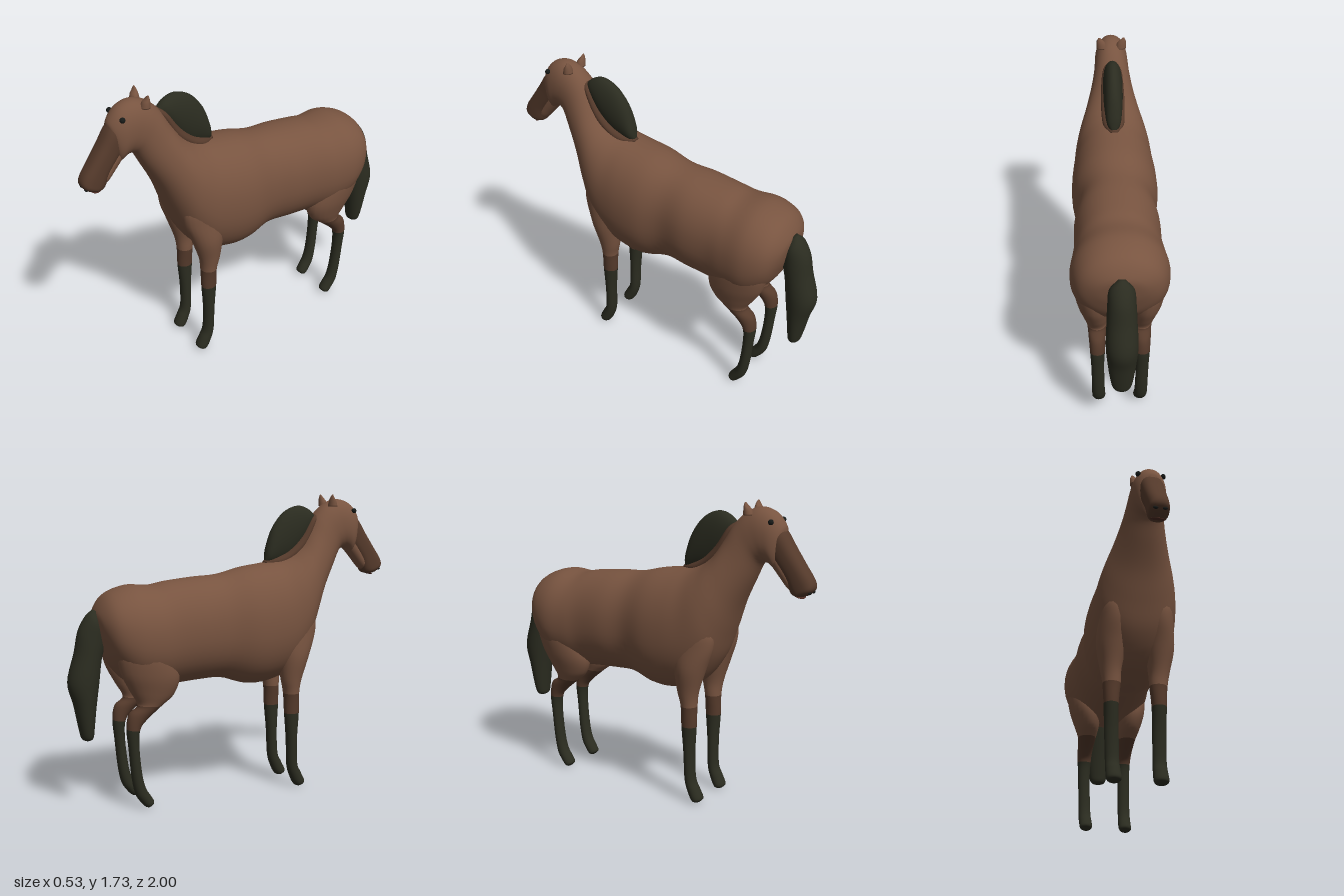
import * as THREE from 'three';

const mat = (name, color) => {
  const m = new THREE.MeshStandardMaterial({ color });
  m.name = name;
  return m;
};

// Lofts smooth oval sections. Each station is [zA, yA, zB, yB, halfWidth, x]:
// two opposite outline points in the side plane, a half width and a sideways centre.
// mats holds one material, or one per interval between stations.
function loft(name, stations, mats, { side = 1, n = 2, seg = 32, sub = 5 } = {}) {
  const curveOf = (f) => new THREE.CatmullRomCurve3(stations.map(f), false, 'catmullrom', 0.5);
  const a = curveOf((s) => new THREE.Vector3(s[0], s[1], s[4]));
  const b = curveOf((s) => new THREE.Vector3(s[2], s[3], (s[5] || 0) * side));
  const rows = (stations.length - 1) * sub;
  const pos = [], idx = [];
  const pw = (v) => Math.sign(v) * Math.pow(Math.abs(v), 2 / n);
  const ends = [];
  for (let i = 0; i <= rows; i++) {
    const p = a.getPoint(i / rows), q = b.getPoint(i / rows);
    const cz = (p.x + q.x) / 2, cy = (p.y + q.y) / 2;
    for (let j = 0; j < seg; j++) {
      const t = (j / seg) * Math.PI * 2, c = pw(Math.cos(t));
      pos.push(q.z + p.z * pw(Math.sin(t)), cy + (p.y - q.y) / 2 * c, cz + (p.x - q.x) / 2 * c);
    }
    if (i === 0 || i === rows) ends.push([q.z, cy, cz]);
  }
  const first = pos.length / 3;
  pos.push(...ends[0], ...ends[1]);
  const starts = [];
  for (let i = 0; i < rows; i++) {
    if (i % sub === 0) starts.push(idx.length);
    for (let j = 0; j < seg; j++) {
      const k = (j + 1) % seg, r = i * seg, u = r + seg;
      if (i === 0) idx.push(first, j, k);
      idx.push(r + j, u + j, r + k, r + k, u + j, u + k);
      if (i === rows - 1) idx.push(first + 1, u + k, u + j);
    }
  }
  // Turn the faces outward whichever way the stations run
  let volume = 0;
  const v = (k) => new THREE.Vector3().fromArray(pos, k * 3);
  for (let i = 0; i < idx.length; i += 3) volume += v(idx[i]).dot(v(idx[i + 1]).cross(v(idx[i + 2])));
  if (volume < 0) for (let i = 0; i < idx.length; i += 3) [idx[i], idx[i + 1]] = [idx[i + 1], idx[i]];
  const g = new THREE.BufferGeometry();
  g.setAttribute('position', new THREE.Float32BufferAttribute(pos, 3));
  g.setIndex(idx);
  g.computeVertexNormals();
  if (Array.isArray(mats)) {
    starts.forEach((s, i) => g.addGroup(s, (starts[i + 1] ?? idx.length) - s, i));
  }
  const mesh = new THREE.Mesh(g, mats);
  mesh.name = name;
  return mesh;
}

export function createModel() {
  const coat = mat('chestnut coat', 0x785440);
  const shade = mat('dark brown', 0x553a2b);
  const hair = mat('black brown hair', 0x2b2c20);
  const eyeMat = mat('eye black', 0x171a18);
  const mouthMat = mat('mouth brown', 0x4c2a22);
  const horse = new THREE.Group();
  horse.name = 'horse';

  // Body, neck and skull as one skin from rump to forehead
  horse.add(loft('body', [
    [-0.835, 1.05, -0.825, 0.99, 0.03],
    [-0.83, 1.12, -0.80, 0.91, 0.14],
    [-0.77, 1.205, -0.75, 0.80, 0.225],
    [-0.65, 1.25, -0.65, 0.70, 0.265],
    [-0.52, 1.245, -0.52, 0.67, 0.255],
    [-0.42, 1.262, -0.40, 0.68, 0.24],
    [-0.25, 1.28, -0.25, 0.69, 0.24],
    [-0.10, 1.29, -0.10, 0.69, 0.222],
    [0.05, 1.325, 0.05, 0.645, 0.248],
    [0.19, 1.345, 0.18, 0.645, 0.248],
    [0.27, 1.36, 0.33, 0.70, 0.235],
    [0.33, 1.38, 0.44, 0.84, 0.22],
    [0.38, 1.41, 0.505, 1.00, 0.195],
    [0.43, 1.46, 0.565, 1.16, 0.16],
    [0.48, 1.54, 0.64, 1.31, 0.125],
    [0.53, 1.62, 0.69, 1.405, 0.105],
    [0.60, 1.685, 0.725, 1.42, 0.098],
    [0.68, 1.712, 0.75, 1.41, 0.094],
    [0.76, 1.69, 0.775, 1.39, 0.085],
    [0.815, 1.63, 0.79, 1.41, 0.062],
    [0.825, 1.59, 0.80, 1.47, 0.02],
  ], coat, { n: 2.15, seg: 44 }));

  // Lower jaw, and the darker nose slab over it
  horse.add(loft('jaw', [
    [0.74, 1.55, 0.70, 1.44, 0.05],
    [0.80, 1.50, 0.75, 1.405, 0.055],
    [0.86, 1.41, 0.805, 1.345, 0.052],
    [0.90, 1.34, 0.85, 1.295, 0.045],
    [0.91, 1.31, 0.88, 1.28, 0.02],
  ], coat));
  horse.add(loft('muzzle', [
    [0.77, 1.625, 0.71, 1.55, 0.04],
    [0.822, 1.595, 0.72, 1.50, 0.065],
    [0.88, 1.51, 0.775, 1.43, 0.063],
    [0.94, 1.425, 0.84, 1.345, 0.06],
    [0.99, 1.355, 0.87, 1.275, 0.058],
    [1.0, 1.31, 0.90, 1.26, 0.053],
    [0.975, 1.275, 0.925, 1.258, 0.025],
  ], shade, { n: 2.6 }));
  const mouth = new THREE.Mesh(new THREE.SphereGeometry(1, 20, 10), mouthMat);
  mouth.name = 'mouth';
  mouth.scale.set(0.042, 0.005, 0.03);
  mouth.position.set(0, 1.262, 0.915);
  mouth.rotation.x = 0.35;
  horse.add(mouth);

  // Mane with its brown base
  horse.add(loft('maneBase', [
    [0.55, 1.63, 0.55, 1.61, 0.02],
    [0.49, 1.60, 0.525, 1.56, 0.055],
    [0.42, 1.50, 0.46, 1.43, 0.068],
    [0.34, 1.42, 0.37, 1.355, 0.068],
    [0.26, 1.38, 0.28, 1.32, 0.058],
    [0.20, 1.36, 0.20, 1.335, 0.02],
  ], shade));
  horse.add(loft('mane', [
    [0.535, 1.615, 0.53, 1.60, 0.015],
    [0.49, 1.655, 0.49, 1.53, 0.042],
    [0.42, 1.675, 0.44, 1.44, 0.055],
    [0.33, 1.64, 0.37, 1.37, 0.056],
    [0.255, 1.55, 0.30, 1.345, 0.05],
    [0.215, 1.44, 0.24, 1.34, 0.038],
    [0.203, 1.37, 0.205, 1.345, 0.012],
  ], hair));

  // Tail
  horse.add(loft('tail', [
    [-0.845, 1.125, -0.80, 1.09, 0.02],
    [-0.885, 1.09, -0.79, 1.02, 0.065],
    [-0.93, 1.01, -0.785, 0.93, 0.075],
    [-0.955, 0.89, -0.805, 0.84, 0.08],
    [-0.995, 0.73, -0.82, 0.72, 0.085],
    [-0.965, 0.60, -0.84, 0.58, 0.075],
    [-0.94, 0.47, -0.853, 0.46, 0.06],
    [-0.925, 0.41, -0.86, 0.41, 0.045],
    [-0.905, 0.395, -0.88, 0.395, 0.018],
  ], hair));

  // Legs: coat above, a brown band, then black stockings
  const banded = (count, band) =>
    Array.from({ length: count - 1 }, (_, i) => (i < band ? coat : i < band + 1 ? shade : hair));
  const foreleg = [
    [0.40, 1.12, 0.25, 1.12, 0.03, 0.13],
    [0.465, 1.03, 0.20, 1.03, 0.075, 0.13],
    [0.465, 0.93, 0.20, 0.93, 0.083, 0.13],
    [0.42, 0.80, 0.23, 0.80, 0.083, 0.135],
    [0.378, 0.67, 0.25, 0.67, 0.06, 0.135],
    [0.365, 0.58, 0.27, 0.58, 0.05, 0.13],
    [0.365, 0.46, 0.275, 0.46, 0.041, 0.132],
    [0.355, 0.30, 0.29, 0.30, 0.039, 0.13],
    [0.36, 0.15, 0.297, 0.14, 0.038, 0.127],
    [0.385, 0.09, 0.32, 0.06, 0.04, 0.126],
    [0.41, 0.035, 0.345, 0.015, 0.04, 0.125],
    [0.395, 0.012, 0.365, 0.004, 0.02, 0.125],
  ];
  const hindleg = [
    [-0.50, 1.02, -0.70, 1.02, 0.05, 0.15],
    [-0.45, 0.90, -0.76, 0.92, 0.095, 0.15],
    [-0.40, 0.75, -0.74, 0.79, 0.095, 0.14],
    [-0.43, 0.645, -0.685, 0.68, 0.075, 0.13],
    [-0.50, 0.585, -0.64, 0.595, 0.055, 0.125],
    [-0.63, 0.455, -0.705, 0.465, 0.041, 0.125],
    [-0.635, 0.35, -0.695, 0.35, 0.036, 0.125],
    [-0.62, 0.20, -0.68, 0.19, 0.036, 0.123],
    [-0.60, 0.12, -0.66, 0.09, 0.037, 0.122],
    [-0.57, 0.07, -0.63, 0.04, 0.038, 0.12],
    [-0.552, 0.035, -0.605, 0.012, 0.036, 0.12],
    [-0.568, 0.012, -0.59, 0.004, 0.018, 0.12],
  ];
  hindleg.splice(5, 0, [-0.59, 0.51, -0.69, 0.55, 0.046, 0.125]);
  const hindMats = banded(hindleg.length, 4);
  hindMats[5] = shade;

  for (const [side, label] of [[1, 'left'], [-1, 'right']]) {
    horse.add(loft(label + 'Foreleg', foreleg, banded(foreleg.length, 5), { side, seg: 24 }));
    horse.add(loft(label + 'Hindleg', hindleg, hindMats, { side, seg: 24 }));

    // Ears lean outward and forward
    horse.add(loft(label + 'Ear', [
      [0.655, 1.67, 0.60, 1.67, 0.032, 0.055],
      [0.645, 1.70, 0.603, 1.70, 0.027, 0.06],
      [0.63, 1.72, 0.608, 1.722, 0.018, 0.066],
      [0.62, 1.738, 0.614, 1.738, 0.005, 0.071],
    ], coat, { side, seg: 16 }));

    const eye = new THREE.Mesh(new THREE.SphereGeometry(0.015, 16, 12), eyeMat);
    eye.name = label + 'Eye';
    eye.position.set(side * 0.07, 1.643, 0.768);
    horse.add(eye);

    const nostril = new THREE.Mesh(new THREE.SphereGeometry(0.012, 14, 10), eyeMat);
    nostril.name = label + 'Nostril';
    nostril.scale.set(1.2, 0.7, 0.6);
    nostril.position.set(side * 0.025, 1.288, 0.982);
    horse.add(nostril);
  }
  return horse;
}
